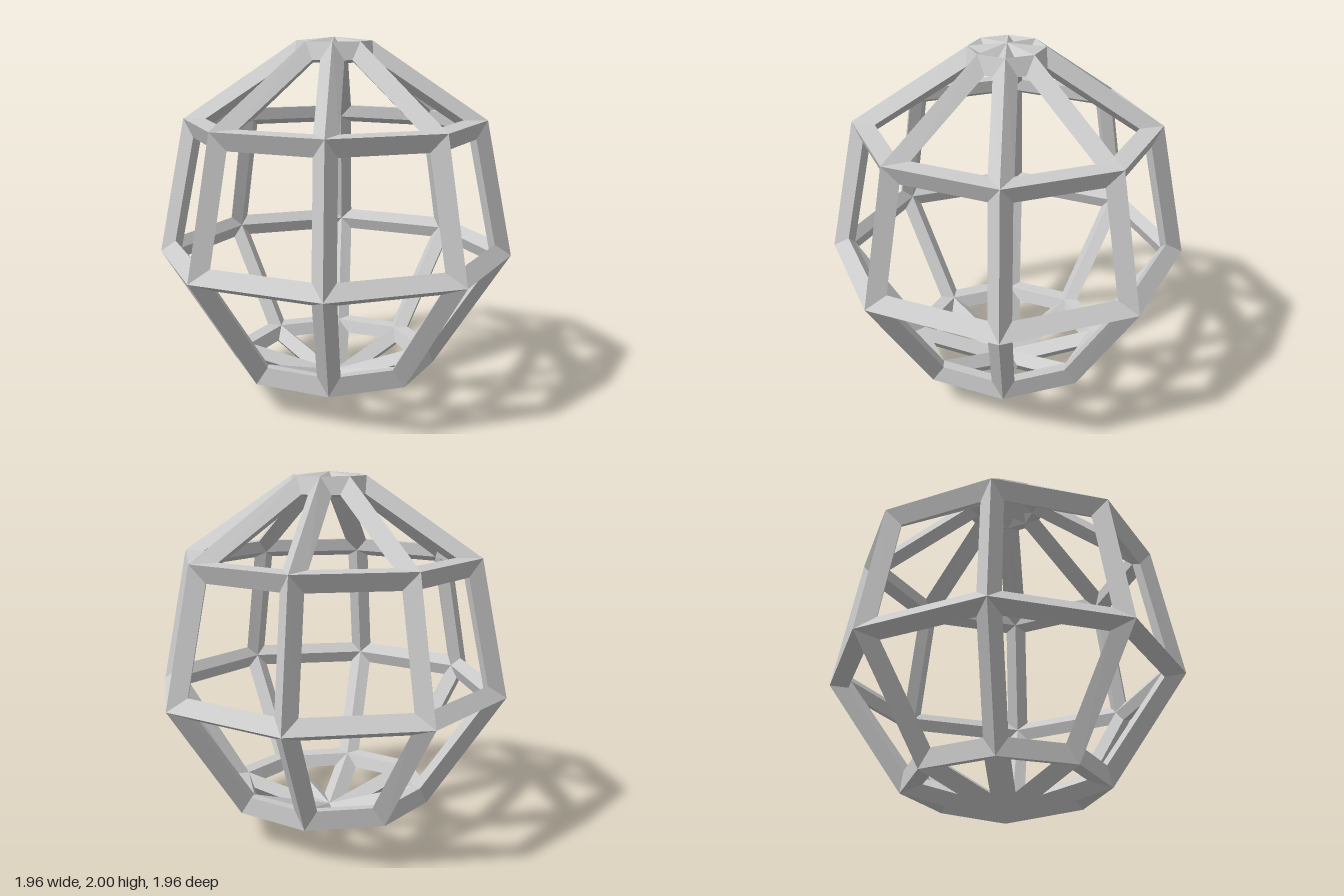
import * as THREE from 'three';

const SIDES = 8;
const INSET = 0.065;  // half width of a strut, measured in the face
const DEPTH = 0.061;  // half thickness of a strut, measured inward

// Outline of the cage as [radius, height], from the top pole to the bottom pole
const RINGS = [[0, 2], [0.204, 1.981], [0.831, 1.556], [0.98, 0.807], [0.56, 0.176], [0, 0]];
const BANDS = ['crownCap', 'upperStruts', 'middleStruts', 'lowerStruts', 'bottomStruts'];

export function createModel() {
  const group = new THREE.Group();
  group.name = 'facetedCage';
  const material = new THREE.MeshStandardMaterial({
    color: 0xcccccc, flatShading: true, side: THREE.DoubleSide,
  });

  // Cage corners; each pole is a single shared corner
  const rings = RINGS.map(([r, y]) => Array.from({ length: r ? SIDES : 1 }, (_, i) => {
    const a = (i / SIDES) * Math.PI * 2;
    return { pos: new THREE.Vector3(r * Math.sin(a), y, r * Math.cos(a)), normal: new THREE.Vector3() };
  }));
  const corner = (k, i) => rings[k][i % rings[k].length];

  // Faces of every band, wound outward
  const bands = BANDS.map((_, k) => Array.from({ length: SIDES }, (_, i) => [...new Set([
    corner(k, i), corner(k + 1, i), corner(k + 1, i + 1), corner(k, i + 1),
  ])]));

  // Directions from a face corner to its neighbours
  const arms = (face, i) => {
    const n = face.length;
    const p = face[i].pos;
    return [face[(i + 1) % n], face[(i + n - 1) % n]].map(c => c.pos.clone().sub(p).normalize());
  };

  // Corner normals weighted by face angle
  for (const face of bands.flat()) {
    face.forEach((c, i) => {
      const [a, b] = arms(face, i);
      c.normal.addScaledVector(a.clone().cross(b).normalize(), a.angleTo(b));
    });
  }
  rings.flat().forEach(c => c.normal.normalize());

  // Each face edge gets an outer bevel and an inner bevel meeting at the opening
  bands.forEach((faces, k) => {
    const out = [];
    const quad = (a, b, c, d) => [a, b, c, a, c, d].forEach(v => out.push(v.x, v.y, v.z));
    for (const face of faces) {
      const outer = face.map(c => c.pos);
      const inner = face.map(c => c.pos.clone().addScaledVector(c.normal, -2 * DEPTH));
      const opening = face.map((c, i) => {
        const [a, b] = arms(face, i);
        const reach = INSET / Math.sin(a.angleTo(b) / 2);
        return c.pos.clone().addScaledVector(a.add(b).normalize(), reach).addScaledVector(c.normal, -DEPTH);
      });
      face.forEach((_, i) => {
        const j = (i + 1) % face.length;
        quad(outer[i], outer[j], opening[j], opening[i]);
        quad(inner[j], inner[i], opening[i], opening[j]);
      });
    }
    const geometry = new THREE.BufferGeometry();
    geometry.setAttribute('position', new THREE.Float32BufferAttribute(out, 3));
    geometry.computeVertexNormals();
    const mesh = new THREE.Mesh(geometry, material);
    mesh.name = BANDS[k];
    group.add(mesh);
  });
  return group;
}
